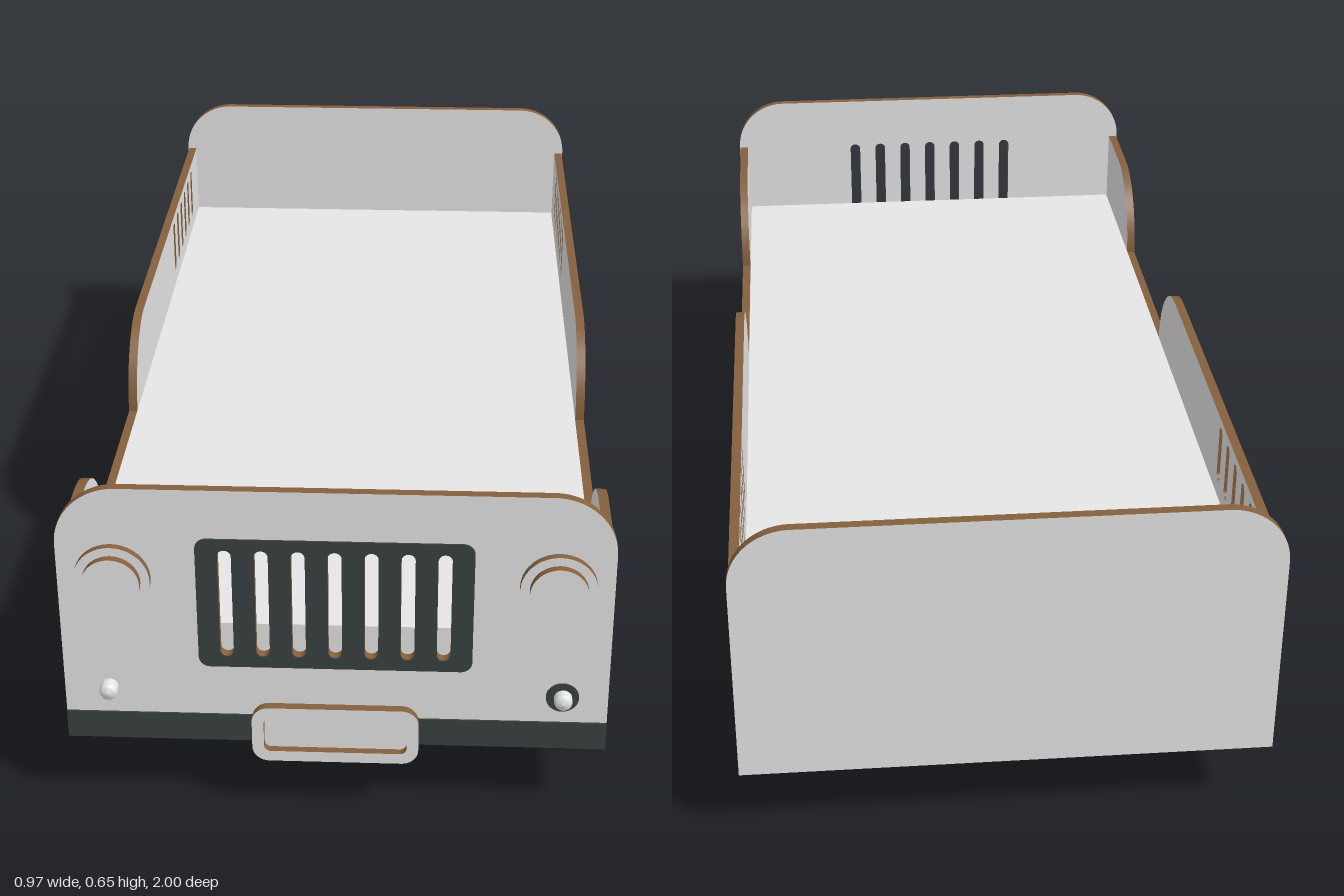
import * as THREE from 'three';

const mat = (name, color) => Object.assign(new THREE.MeshStandardMaterial({ color }), { name });

export function createModel() {
  const white = mat('white paint', 0xe6e6e6);
  const wood = mat('plywood edge', 0x85603d);
  const slate = mat('slate paint', 0x394140);
  const black = mat('black paint', 0x1e1e1f);
  const slatWood = mat('pale slat wood', 0xb08a6e);
  const group = new THREE.Group();

  const add = (name, geometry, material, x = 0, y = 0, z = 0, parent = group) => {
    const m = new THREE.Mesh(geometry, material);
    m.name = name;
    m.position.set(x, y, z);
    parent.add(m);
    return m;
  };
  const box = (name, w, h, d, material, x, y, z, parent) =>
    add(name, new THREE.BoxGeometry(w, h, d), material, x, y, z, parent);

  // Rounded rectangle or slot outline about a centre
  const rounded = (cx, cy, w, h, r, Type = THREE.Shape) => {
    const p = new Type(), x = w / 2 - r, y = h / 2 - r;
    p.absarc(cx + x, cy + y, r, 0, Math.PI / 2);
    p.absarc(cx - x, cy + y, r, Math.PI / 2, Math.PI);
    p.absarc(cx - x, cy - y, r, Math.PI, Math.PI * 1.5);
    p.absarc(cx + x, cy - y, r, Math.PI * 1.5, Math.PI * 2);
    p.closePath();
    return p;
  };
  const disc = (r, hole = 0) => {
    const s = new THREE.Shape().absarc(0, 0, r, 0, Math.PI * 2);
    if (hole) s.holes.push(new THREE.Path().absarc(0, 0, hole, 0, Math.PI * 2));
    return s;
  };
  const extrude = (shape, depth) =>
    new THREE.ExtrudeGeometry(shape, { depth, bevelEnabled: false, curveSegments: 20 });
  // Painted board with bare plywood edges
  const board = (name, shape, depth, x, y, z, parent = group, edge = wood) =>
    add(name, extrude(shape, depth), [white, edge], x, y, z, parent);

  // Head and front panels with rounded top corners
  const endShape = () => {
    const s = new THREE.Shape();
    s.moveTo(-0.477, 0.145);
    s.lineTo(0.477, 0.145);
    s.absarc(0.367, 0.543, 0.11, 0, Math.PI / 2);
    s.absarc(-0.367, 0.543, 0.11, Math.PI / 2, Math.PI);
    s.closePath();
    return s;
  };
  const grilleShape = rounded(0, 0.431, 0.476, 0.258, 0.02);
  const frontShape = endShape();
  for (let i = -3; i <= 3; i++) {
    const slot = () => rounded(i * 0.0627, 0.431, 0.024, 0.215, 0.0119, THREE.Path);
    frontShape.holes.push(slot());
    grilleShape.holes.push(slot());
  }
  board('headPanel', endShape(), 0.018, 0, 0, -1);
  board('frontPanel', frontShape, 0.017, 0, 0, 0.956);
  add('grille', extrude(grilleShape, 0.003), slate, 0, 0, 0.973);
  box('frontStripe', 0.954, 0.055, 0.003, slate, 0, 0.1725, 0.9745);

  // Headlights and domed fog lights
  const dome = [[0.016, 0], [0.016, 0.016], [0.0145, 0.021], [0.01, 0.0245], [0, 0.027]]
    .map(([x, y]) => new THREE.Vector2(x, y));
  for (const s of [-1, 1]) {
    board('headlightRing', disc(0.066), 0.013, s * 0.381, 0.479, 0.973);
    board('headlightLens', disc(0.05), 0.014, s * 0.381, 0.479, 0.986);
    add('fogLight', new THREE.LatheGeometry(dome, 24), white, s * 0.398, 0.253, 0.973)
      .rotation.x = Math.PI / 2;
  }
  add('fogLightSurround', extrude(disc(0.029), 0.003), slate, 0.397, 0.253, 0.973);

  // Bumper plate with a raised rim
  const rim = rounded(0, 0.172, 0.294, 0.113, 0.03);
  rim.holes.push(rounded(0, 0.172, 0.252, 0.071, 0.012, THREE.Path));
  board('bumperPlate', rounded(0, 0.172, 0.29, 0.109, 0.028), 0.005, 0, 0, 0.975);
  board('bumperRim', rim, 0.014, 0, 0, 0.98);

  // Side panel drawn as (z, y), with a scooped entry and vent slots
  const side = new THREE.Shape();
  side.moveTo(-0.982, 0.147);
  side.lineTo(0.956, 0.147);
  side.lineTo(0.956, 0.54);
  side.lineTo(0.785, 0.54);
  side.absellipse(0.785, 0.373, -0.17, 0.167, Math.PI / 2, 0, true);
  side.lineTo(0.157, 0.373);
  side.absellipse(-0.005, 0.373, 0.162, 0.167, 0, Math.PI / 2, false);
  side.lineTo(-0.982, 0.54);
  side.closePath();
  for (let i = 0; i < 6; i++)
    side.holes.push(rounded(-0.512 - i * 0.068, 0.466, 0.026, 0.115, 0.0129, THREE.Path));

  for (const s of [-1, 1]) {
    const dark = s > 0 ? black : slate;
    const name = s > 0 ? 'left' : 'right';
    // Local frame: shape x runs along z, local z runs along x
    const frame = new THREE.Group();
    frame.name = name + 'Side';
    frame.rotation.y = -Math.PI / 2;
    group.add(frame);
    const along = (from, depth) => (s > 0 ? -from - depth : from);
    board(name + 'Panel', side, 0.018, 0, 0, along(0.457, 0.018), frame);
    box(name + 'Stripe', 1.938, 0.06, 0.002, dark, -0.013, 0.177, along(0.475, 0.002) + 0.001, frame);
    for (const z of [0.692, -0.712]) {
      board('wheelBoard', disc(0.141), 0.018, z, 0.143, along(0.457, 0.018), frame);
      add('tyre', extrude(disc(0.141, 0.087), 0.003), dark, z, 0.143, along(0.475, 0.003), frame);
      board('wheelHub', disc(0.088), 0.009, z, 0.143, along(0.475, 0.009), frame, dark);
    }
    // Side rail under the mattress, with a ledge that carries the slats
    box(name + 'Rail', 0.022, 0.088, 1.936, wood, s * 0.446, 0.191, -0.013);
    box(name + 'Ledge', 0.022, 0.035, 1.9, slatWood, s * 0.424, 0.2175, -0.013);
  }

  // Mattress, end ledges and slats
  box('mattress', 0.912, 0.142, 1.936, white, 0, 0.308, -0.013);
  for (const z of [-0.97, 0.944]) box('endLedge', 0.87, 0.035, 0.024, slatWood, 0, 0.2175, z);
  for (let i = 0; i < 14; i++)
    box('slat', 0.87, 0.016, 0.06, slatWood, 0, 0.235, -0.9 + i * 0.1365);

  return group;
}
